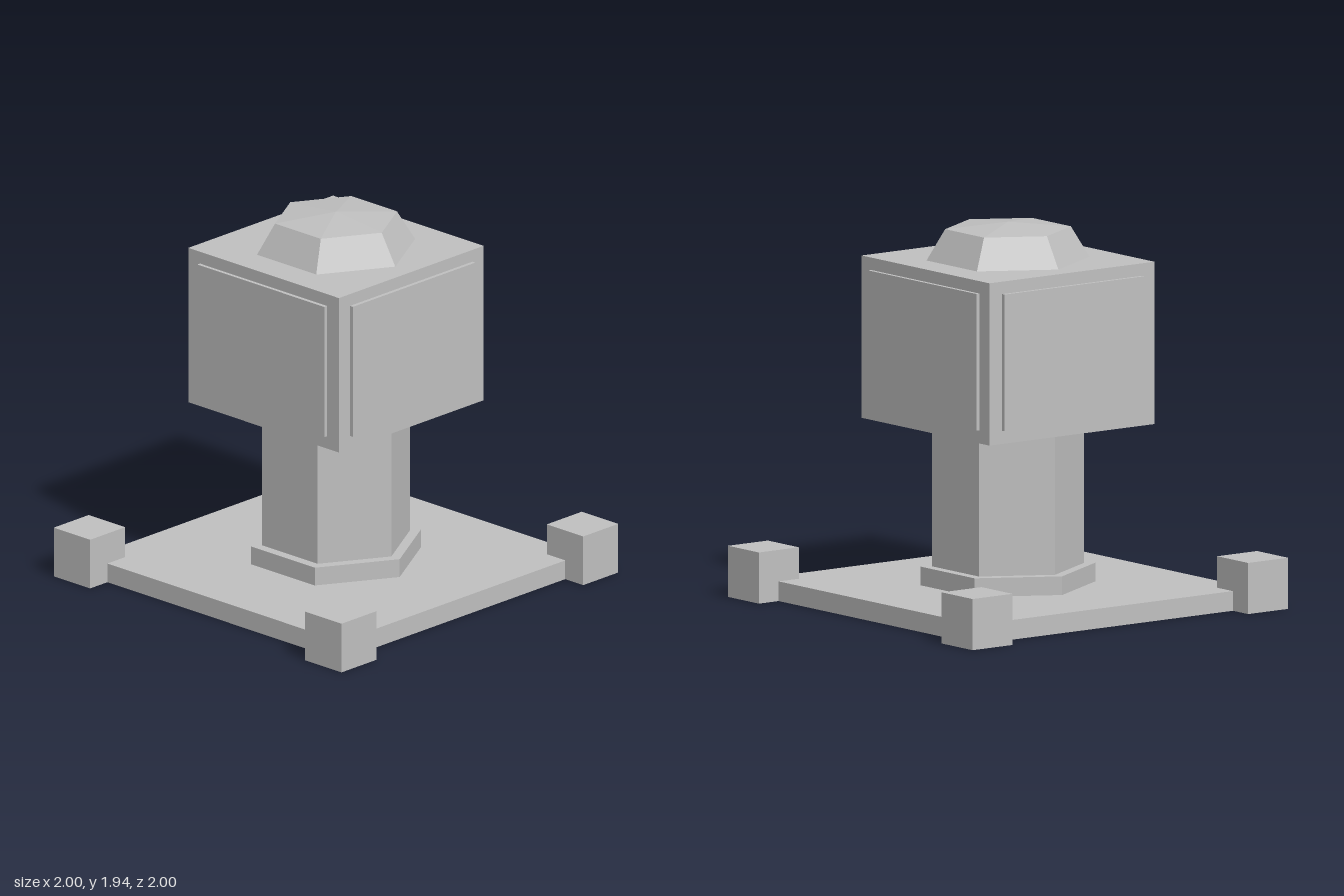
import * as THREE from 'three';

export function createModel() {
  const model = new THREE.Group();
  const stone = new THREE.MeshStandardMaterial({ color: 0xc0c0c0 });
  stone.name = 'stone grey';

  function add(name, geometry, x, y, z) {
    const mesh = new THREE.Mesh(geometry, stone);
    mesh.name = name;
    mesh.position.set(x, y, z);
    model.add(mesh);
    return mesh;
  }

  // Six-sided prism or frustum with corners on the x axis and crisp faces
  function hex(name, rTop, rBottom, y0, y1, openEnded = false) {
    const g = new THREE.CylinderGeometry(rTop, rBottom, y1 - y0, 6, 1, openEnded, Math.PI / 2).toNonIndexed();
    g.computeVertexNormals();
    return add(name, g, 0, (y0 + y1) / 2, 0);
  }

  // Square base slab with a block at each corner
  add('baseSlab', new THREE.BoxGeometry(1.75, 0.1, 1.75), 0, 0.05, 0);
  for (const x of [-1, 1]) {
    for (const z of [-1, 1]) {
      add('cornerBlock', new THREE.BoxGeometry(0.253, 0.26, 0.253), x * 0.8735, 0.13, z * 0.8735);
    }
  }

  // Hexagonal collar and shaft
  hex('collar', 0.443, 0.443, 0.1, 0.195);
  hex('shaft', 0.385, 0.385, 0.195, 0.925);

  // Cube head with a raised panel on each side
  add('head', new THREE.BoxGeometry(1.046, 0.825, 1.046), 0, 1.3375, 0);
  for (let i = 0; i < 4; i++) {
    const a = i * Math.PI / 2;
    const panel = add('sidePanel', new THREE.BoxGeometry(0.884, 0.695, 0.04),
      Math.sin(a) * 0.523, 1.3395, Math.cos(a) * 0.523);
    panel.rotation.y = a;
  }

  // Faceted cap with a shallow point
  hex('capSides', 0.318, 0.412, 1.75, 1.907, true);
  hex('capPoint', 0, 0.318, 1.907, 1.938, true);

  return model;
}
